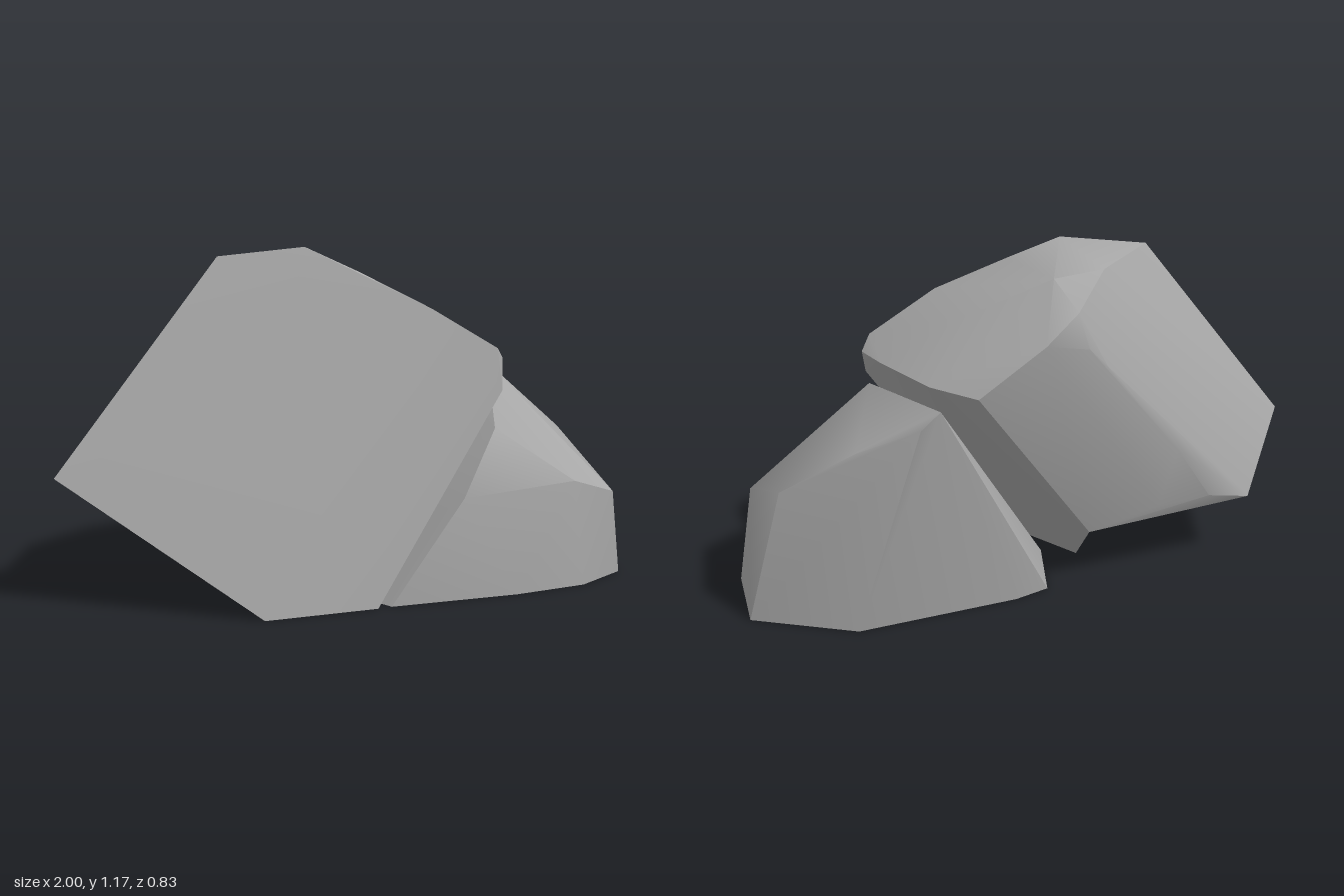
import * as THREE from 'three';
import { ConvexGeometry } from 'three/addons/geometries/ConvexGeometry.js';
import { toCreasedNormals } from 'three/addons/utils/BufferGeometryUtils.js';

const stone = new THREE.MeshStandardMaterial({ color: 0xa8a8a8, side: THREE.DoubleSide });
stone.name = 'greyStone';

// A faceted shell spanned by its corners, left open underneath;
// edges below the crease angle are smoothed, harder ones stay sharp
function boulder(name, crease, corners) {
  const hull = new ConvexGeometry(corners.map((c) => new THREE.Vector3(...c)));
  const position = hull.getAttribute('position');
  const triangle = new THREE.Triangle();
  const normal = new THREE.Vector3();
  const kept = [];
  for (let i = 0; i < position.count; i += 3) {
    triangle.setFromAttributeAndIndices(position, i, i + 1, i + 2);
    if (triangle.getNormal(normal).y > -0.64) kept.push(triangle.a.clone(), triangle.b.clone(), triangle.c.clone());
  }
  const shell = new THREE.BufferGeometry().setFromPoints(kept);
  shell.computeVertexNormals();
  const mesh = new THREE.Mesh(toCreasedNormals(shell, crease), stone);
  mesh.name = name;
  return mesh;
}

export function createModel() {
  const group = new THREE.Group();
  group.name = 'splitRock';

  group.add(boulder('largeRock', 0.55, [
    // left tip and crown
    [-1, 0.44, -0.11], [-0.42, 1.14, -0.11], [-0.15, 1.17, 0], [-0.16, 1.13, -0.28], [0.02, 1.12, -0.27],
    // upper front edge
    [0, 1.09, 0.1], [0.2, 0.97, 0.25], [0.43, 0.83, 0.29], [0.44, 0.69, 0.31],
    // upper rim of the split
    [0.48, 0.79, 0.24], [0.49, 0.81, 0.05], [0.42, 0.79, -0.18], [0.32, 0.78, -0.33], [0.25, 0.98, -0.1],
    // back
    [0, 1.04, -0.4], [0.12, 0.95, -0.41], [-0.03, 0.92, -0.42], [-0.1, 0.85, -0.415], [-0.4, 0.49, -0.385],
    // raised rear edge of the underside
    [-0.73, 0.23, -0.34], [-0.55, 0.28, -0.362], [-0.36, 0.27, -0.335], [-0.12, 0.2, -0.28],
    // foot
    [-0.44, 0, 0.31], [-0.05, 0, 0.35], [-0.2, 0, -0.05],
  ]));

  group.add(boulder('smallRock', 0.75, [
    // upper rim of the split
    [0.25, 0.35, 0.39], [0.4, 0.565, 0.33], [0.53, 0.745, 0.06], [0.51, 0.76, -0.1], [0.48, 0.79, -0.39],
    // shoulder, front corners and back ridge
    [0.9, 0.47, -0.05], [0.68, 0.37, 0.4], [0.86, 0.31, 0.37], [0.7, 0.63, -0.22], [0.54, 0.73, -0.37],
    // foot
    [0, 0, 0.35], [0.45, 0, 0.41], [0.72, 0, 0.41], [0.93, 0, 0.32],
    [1, 0, 0.02], [0.71, 0, -0.22], [0.15, 0, -0.26], [0.02, 0, -0.24], [-0.1, 0, 0.03],
  ]));

  return group;
}
